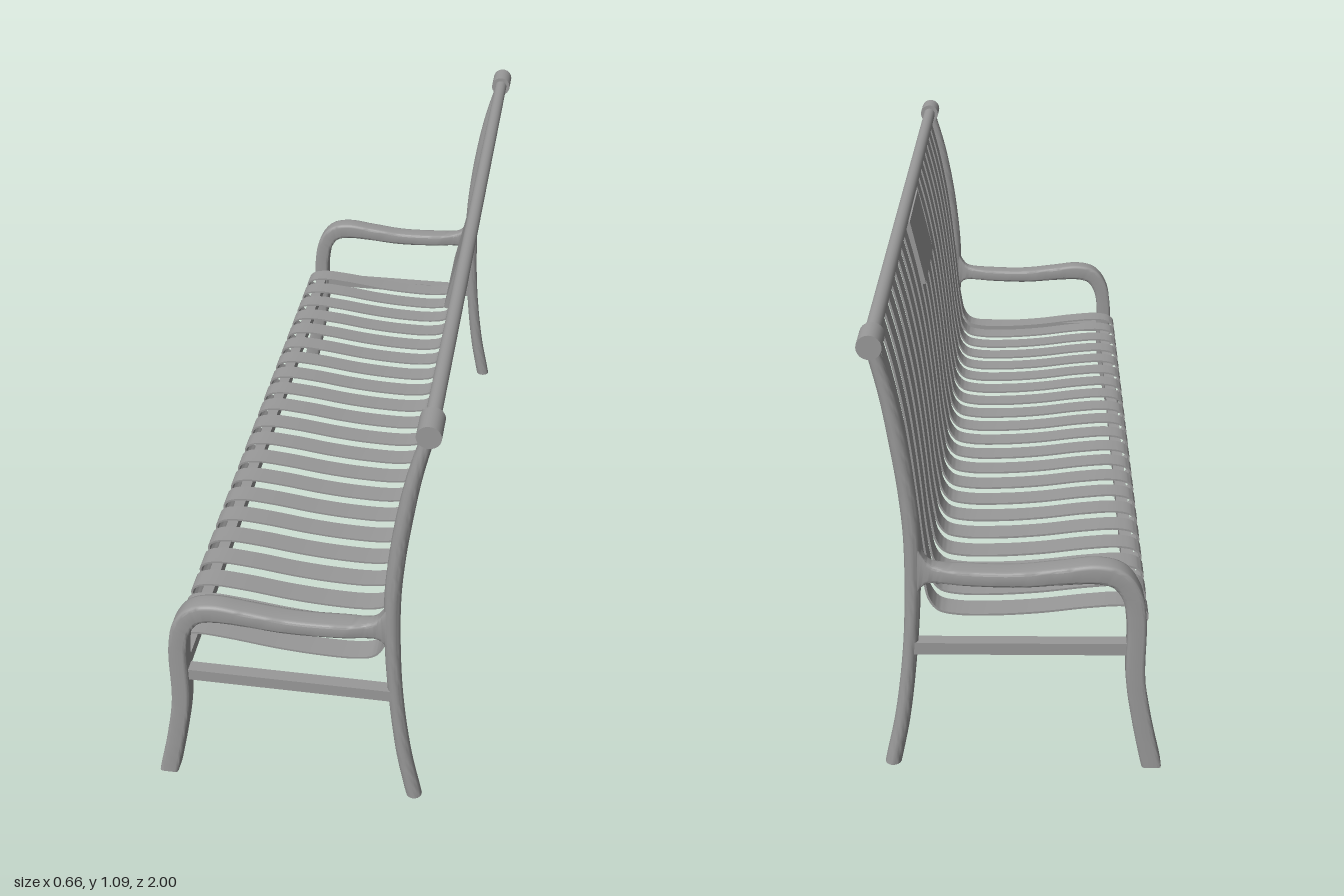
import * as THREE from 'three';
import { toCreasedNormals } from 'three/addons/utils/BufferGeometryUtils.js';

const material = new THREE.MeshStandardMaterial({ color: 0x999999 });

// Cross-sections in unit half-sizes: u lies in the side plane, w runs along z.
const oval = (sides, power) => Array.from({ length: sides }, (_, i) => {
  const a = (i + 0.5) / sides * Math.PI * 2;
  const soft = (v) => Math.sign(v) * Math.abs(v) ** power;
  return [soft(Math.cos(a)), soft(Math.sin(a))];
});
const ROUND = oval(16, 1);
const SOFT_SQUARE = oval(16, 0.3);
const FLAT = [[1, -1], [1, 1], [-1, 1], [-1, -1]];

// Sweeps a section along a curve in the side plane; points are [x, y, halfThickness].
// halfWidth(p) gives the half size along z. The first ring is cut level.
function sweep(points, halfWidth, section, steps) {
  const curve = new THREE.CatmullRomCurve3(points.map((p) => new THREE.Vector3(...p)), false, 'centripetal');
  const n = section.length;
  const pos = [];
  const index = [];
  for (let i = 0; i <= steps; i++) {
    const p = curve.getPoint(i / steps);
    const t = i ? curve.getTangent(i / steps) : new THREE.Vector3(0, 1, 0);
    const len = Math.hypot(t.x, t.y);
    for (const [u, w] of section) {
      pos.push(p.x - t.y / len * u * p.z, p.y + t.x / len * u * p.z, w * halfWidth(p));
    }
  }
  for (let i = 0; i < steps; i++) {
    for (let j = 0; j < n; j++) {
      const a = i * n + j;
      const b = i * n + (j + 1) % n;
      index.push(a, b, a + n, b, b + n, a + n);
    }
  }
  // End caps
  const last = steps * n;
  for (let j = 1; j < n - 1; j++) {
    index.push(0, j + 1, j, last, last + j, last + j + 1);
  }
  const geometry = new THREE.BufferGeometry();
  geometry.setAttribute('position', new THREE.Float32BufferAttribute(pos, 3));
  geometry.setIndex(index);
  return toCreasedNormals(geometry, 0.7);
}

function add(parent, name, geometry, x = 0, y = 0, z = 0) {
  const mesh = new THREE.Mesh(geometry, material);
  mesh.name = name;
  mesh.position.set(x, y, z);
  parent.add(mesh);
  return mesh;
}

const rod = (radius, length) => new THREE.CylinderGeometry(radius, radius, length, 24).rotateX(Math.PI / 2);

export function createModel() {
  const group = new THREE.Group();
  group.name = 'bench';

  // End frames: round back post, squarish front leg running into the armrest, side bar and cap
  const post = sweep([
    [0.292, 0, 0.019], [0.266, 0.13, 0.018], [0.245, 0.3, 0.017], [0.235, 0.45, 0.018],
    [0.233, 0.6, 0.019], [0.241, 0.71, 0.019], [0.255, 0.82, 0.019], [0.276, 0.94, 0.017], [0.305, 1.055, 0.014],
  ], (p) => p.z + 0.001, ROUND, 48);
  const legAndArm = sweep([
    [-0.308, 0, 0.023], [-0.283, 0.12, 0.022], [-0.265, 0.24, 0.022], [-0.263, 0.4, 0.022],
    [-0.249, 0.465, 0.023], [-0.22, 0.503, 0.024], [-0.175, 0.515, 0.024], [-0.1, 0.51, 0.021],
    [0, 0.501, 0.019], [0.1, 0.503, 0.018], [0.17, 0.508, 0.019], [0.198, 0.511, 0.025],
    [0.216, 0.513, 0.045], [0.23, 0.514, 0.08],
  ], (p) => 0.026 - 0.01 * THREE.MathUtils.smoothstep(p.x, 0.12, 0.22), SOFT_SQUARE, 80);
  const sideBar = new THREE.BoxGeometry(0.48, 0.03, 0.03);
  const cap = rod(0.027, 0.075);
  for (const s of [1, -1]) {
    const frame = new THREE.Group();
    frame.name = s > 0 ? 'leftEndFrame' : 'rightEndFrame';
    frame.position.z = s * 0.966;
    group.add(frame);
    add(frame, 'backPost', post);
    add(frame, 'frontLegAndArmrest', legAndArm);
    add(frame, 'sideBar', sideBar, -0.005, 0.318, 0);
    add(frame, 'railCap', cap, 0.305, 1.058, -s * 0.0035);
  }

  // Long rails
  add(group, 'topRail', rod(0.017, 1.88), 0.305, 1.058, 0);
  add(group, 'frontRail', new THREE.BoxGeometry(0.03, 0.03, 1.89), -0.265, 0.318, 0);

  // Bent strap slats forming seat and backrest
  const t = 0.0025;
  const slat = sweep([
    [-0.28, 0.333, t], [-0.292, 0.346, t], [-0.292, 0.362, t], [-0.278, 0.376, t], [-0.24, 0.384, t],
    [-0.16, 0.379, t], [-0.05, 0.365, t], [0.05, 0.358, t], [0.14, 0.359, t], [0.183, 0.37, t],
    [0.204, 0.398, t], [0.213, 0.44, t], [0.222, 0.51, t], [0.23, 0.6, t], [0.241, 0.71, t],
    [0.255, 0.82, t], [0.277, 0.94, t], [0.304, 1.05, t],
  ], () => 0.028, FLAT, 90);
  for (let i = -10; i <= 10; i++) add(group, 'slat', slat, 0, 0, 0.004 + i * 0.0877);

  // Blank plate on the backrest
  const plate = add(group, 'backPlate', new THREE.BoxGeometry(0.022, 0.172, 0.28), 0.279, 0.958, 0.006);
  plate.rotation.z = -0.22;

  return group;
}
